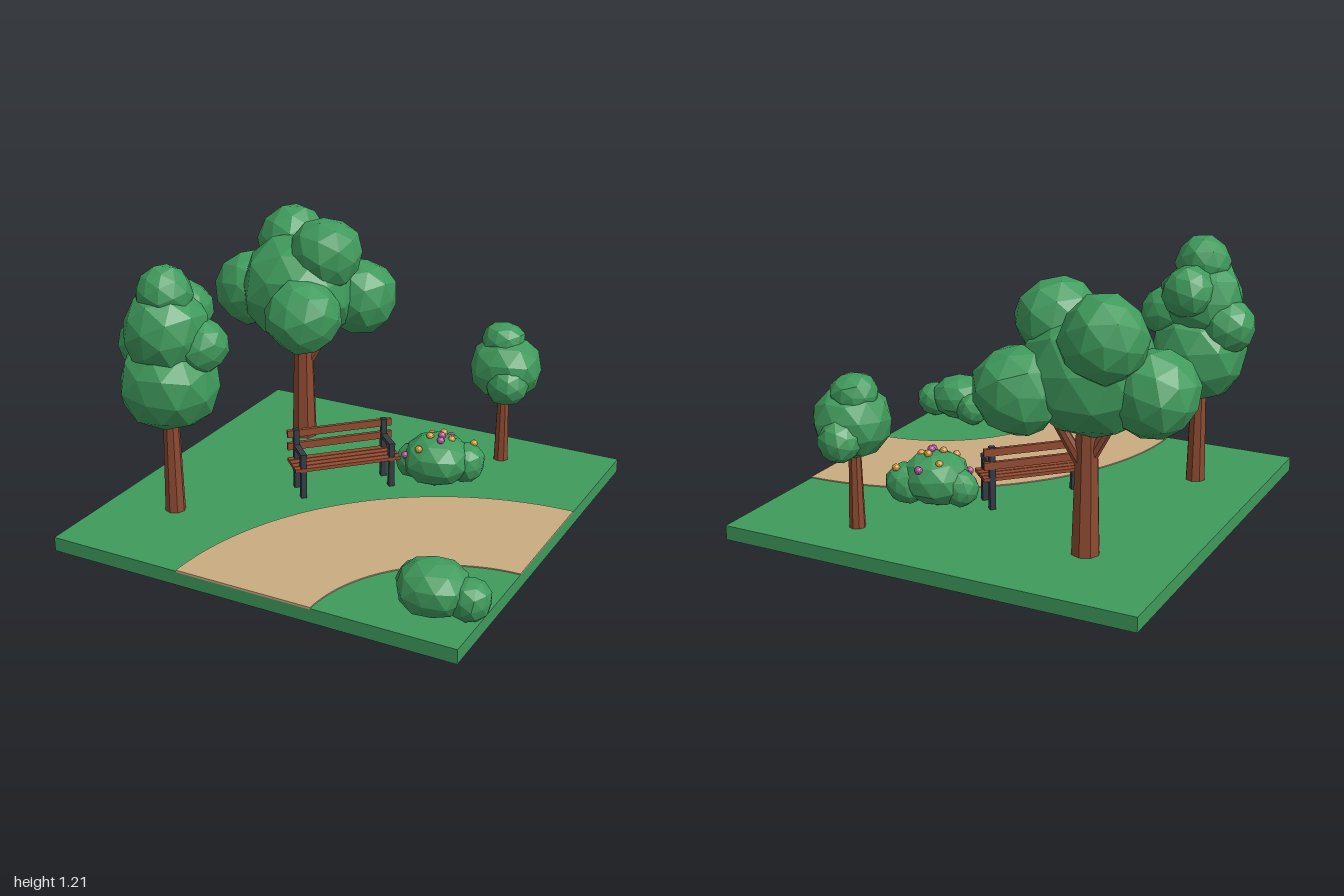
import * as THREE from 'three';

const mat = (name, color, flat = true) => {
  const m = new THREE.MeshStandardMaterial({ color, flatShading: flat });
  m.name = name;
  return m;
};

export function createModel() {
  const green = mat('leafGreen', 0x3f9a5c);
  const sand = mat('sand', 0xc9ab80);
  const bark = mat('bark', 0x8c4a32);
  const wood = mat('benchWood', 0x934b31);
  const iron = mat('darkIron', 0x343c44);
  const orange = mat('orangePetal', 0xd09a3c);
  const pink = mat('pinkPetal', 0xb8529c);

  const model = new THREE.Group();
  model.name = 'parkCorner';

  const add = (parent, name, geometry, material, x = 0, y = 0, z = 0) => {
    const mesh = new THREE.Mesh(geometry, material);
    mesh.name = name;
    mesh.position.set(x, y, z);
    parent.add(mesh);
    return mesh;
  };
  const group = (name) => {
    const g = new THREE.Group();
    g.name = name;
    model.add(g);
    return g;
  };

  // Faceted leaf clump; equal corners get equal jitter so it stays closed
  const clump = (parent, [x, y, z, rx, ry = rx, rz = rx], seed) => {
    const geo = new THREE.IcosahedronGeometry(1, 1);
    const p = geo.attributes.position;
    const v = new THREE.Vector3();
    for (let i = 0; i < p.count; i++) {
      v.fromBufferAttribute(p, i);
      const k = Math.round(v.x * 50) * 1.7 + Math.round(v.y * 50) * 2.9 + Math.round(v.z * 50) * 4.3;
      v.multiplyScalar(1 + 0.035 * Math.sin(k + seed * 5.1));
      p.setXYZ(i, v.x, v.y, v.z);
    }
    geo.rotateY(seed * 1.3).rotateX(seed * 0.7);
    geo.scale(rx, ry, rz);
    geo.computeVertexNormals();
    add(parent, 'leafClump', geo, green, x, y, z);
  };
  const clumps = (parent, list) => list.forEach((c, i) => clump(parent, c, i + 1));

  // Tapered trunk or branch between two points
  const limb = (parent, name, a, b, r0, r1) => {
    const from = new THREE.Vector3(...a), to = new THREE.Vector3(...b);
    const dir = to.clone().sub(from);
    const mesh = add(parent, name, new THREE.CylinderGeometry(r1, r0, dir.length(), 8), bark);
    mesh.position.copy(from).add(to).multiplyScalar(0.5);
    mesh.quaternion.setFromUnitVectors(new THREE.Vector3(0, 1, 0), dir.normalize());
  };

  // Ground slab
  add(model, 'lawn', new THREE.BoxGeometry(1.9, 0.065, 1.9), green, 0.005, 0.0325, 0);

  // Curved path around the front left corner
  const ring = new THREE.Shape();
  ring.absarc(0.955, -0.95, 1.27, Math.PI / 2, Math.PI, false);
  ring.absarc(0.955, -0.95, 0.635, Math.PI, Math.PI / 2, true);
  const pathGeo = new THREE.ExtrudeGeometry(ring, { depth: 0.01, bevelEnabled: false, curveSegments: 32 });
  pathGeo.rotateX(-Math.PI / 2);
  add(model, 'path', pathGeo, sand, 0, 0.06, 0);

  // Broad tree
  const broad = group('broadTree');
  limb(broad, 'trunk', [-0.53, 0.06, -0.51], [-0.53, 0.75, -0.51], 0.062, 0.042);
  limb(broad, 'branch', [-0.53, 0.42, -0.51], [-0.39, 0.7, -0.58], 0.03, 0.02);
  limb(broad, 'branch', [-0.53, 0.45, -0.51], [-0.68, 0.72, -0.5], 0.028, 0.02);
  clumps(broad, [
    [-0.54, 0.84, -0.5, 0.28, 0.27, 0.28],
    [-0.31, 0.78, -0.68, 0.185],
    [-0.66, 1.02, -0.65, 0.178],
    [-0.82, 0.79, -0.52, 0.182],
    [-0.39, 1.03, -0.49, 0.175],
    [-0.4, 0.78, -0.28, 0.18],
  ]);

  // Tall tree
  const tall = group('tallTree');
  limb(tall, 'trunk', [-0.635, 0.06, 0.48], [-0.635, 0.62, 0.48], 0.046, 0.033);
  clumps(tall, [
    [-0.635, 0.68, 0.475, 0.22, 0.22, 0.22],
    [-0.635, 0.92, 0.485, 0.19, 0.19, 0.195],
    [-0.635, 1.09, 0.485, 0.125, 0.12, 0.125],
    [-0.62, 0.98, 0.35, 0.12],
    [-0.775, 0.82, 0.44, 0.125],
    [-0.49, 0.86, 0.44, 0.12],
  ]);

  // Small tree
  const small = group('smallTree');
  limb(small, 'trunk', [0.45, 0.06, -0.7], [0.45, 0.5, -0.7], 0.036, 0.024);
  clumps(small, [
    [0.455, 0.54, -0.7, 0.168, 0.16, 0.168],
    [0.435, 0.665, -0.71, 0.105, 0.09, 0.105],
    [0.5, 0.49, -0.61, 0.1],
    [0.44, 0.49, -0.82, 0.095],
  ]);

  // Bushes
  clumps(group('flowerBush'), [
    [0.285, 0.185, -0.315, 0.155, 0.125, 0.155],
    [0.395, 0.165, -0.385, 0.095],
    [0.165, 0.155, -0.315, 0.085],
  ]);
  clumps(group('cornerBush'), [
    [0.76, 0.18, 0.75, 0.15, 0.12, 0.14],
    [0.905, 0.155, 0.73, 0.09],
    [0.655, 0.15, 0.68, 0.085],
  ]);

  // Flowers
  const flowers = group('flowers');
  const blossom = new THREE.IcosahedronGeometry(0.018, 1);
  [[0.23, 0.275, -0.38], [0.42, 0.245, -0.43], [0.3, 0.305, -0.355], [0.35, 0.29, -0.33],
    [0.26, 0.305, -0.29], [0.24, 0.265, -0.21]]
    .forEach((q) => add(flowers, 'orangeFlower', blossom, orange, ...q));
  [[0.3, 0.255, -0.44], [0.31, 0.31, -0.31], [0.32, 0.3, -0.275], [0.16, 0.21, -0.235]]
    .forEach((q) => add(flowers, 'pinkFlower', blossom, pink, ...q));

  // Bench turned to face the path
  const bench = group('bench');
  bench.position.set(-0.078, 0, -0.08);
  bench.rotation.y = Math.PI / 4;
  for (let i = 0; i < 4; i++) {
    add(bench, 'seatSlat', new THREE.BoxGeometry(0.5, 0.016, 0.032), wood, 0, 0.205, -0.052 + i * 0.037);
  }
  for (const y of [0.27, 0.332]) {
    add(bench, 'backSlat', new THREE.BoxGeometry(0.5, 0.034, 0.018), wood, 0, y, -0.065);
  }
  for (const s of [-1, 1]) {
    add(bench, 'backLeg', new THREE.BoxGeometry(0.026, 0.295, 0.026), iron, s * 0.21, 0.2075, -0.058);
    add(bench, 'frontLeg', new THREE.BoxGeometry(0.026, 0.21, 0.026), iron, s * 0.21, 0.165, 0.058);
    add(bench, 'armrest', new THREE.BoxGeometry(0.028, 0.018, 0.14), iron, s * 0.21, 0.272, 0.004);
    add(bench, 'seatRail', new THREE.BoxGeometry(0.024, 0.018, 0.116), iron, s * 0.21, 0.187, 0);
  }

  return model;
}
